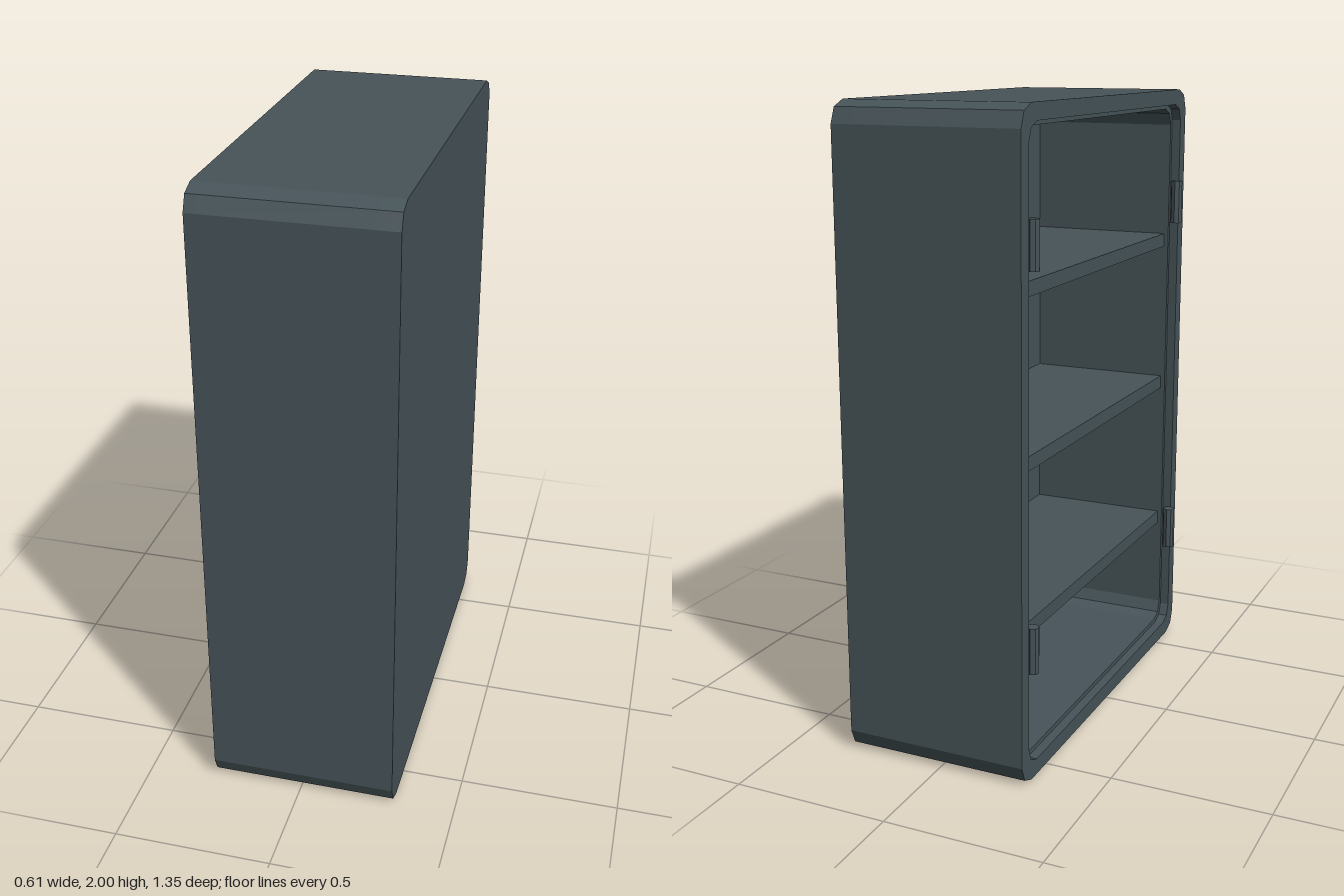
import * as THREE from 'three';

export function createModel() {
  const model = new THREE.Group();
  model.name = 'openCabinet';

  const slate = new THREE.MeshStandardMaterial({ color: 0x465358 });
  slate.name = 'slateGrey';

  const HALF_WIDTH = 0.675, HEIGHT = 2;

  const add = (name, geometry, x = 0, y = 0, z = 0) => {
    const mesh = new THREE.Mesh(geometry, slate);
    mesh.name = name;
    mesh.position.set(x, y, z);
    model.add(mesh);
  };

  // Rounded outline of the cabinet, shrunk by an inset
  const outline = (path, inset, r) => {
    const w = HALF_WIDTH - inset, b = inset, t = HEIGHT - inset;
    path.moveTo(-w + r, b);
    path.absarc(w - r, b + r, r, -Math.PI / 2, 0, false);
    path.absarc(w - r, t - r, r, 0, Math.PI / 2, false);
    path.absarc(-w + r, t - r, r, Math.PI / 2, Math.PI, false);
    path.absarc(-w + r, b + r, r, Math.PI, Math.PI * 1.5, false);
    return path;
  };

  // Slice of the cabinet between two x positions, with an optional opening
  const slice = (name, x0, x1, holeInset) => {
    const shape = outline(new THREE.Shape(), 0, 0.067);
    if (holeInset) shape.holes.push(outline(new THREE.Path(), holeInset, 0.055));
    const geometry = new THREE.ExtrudeGeometry(shape, {
      depth: x1 - x0, bevelEnabled: false, curveSegments: 1,
    });
    geometry.rotateY(Math.PI / 2);
    add(name, geometry, x0);
  };

  // Stepped shell, open towards -x
  slice('openingRim', -0.285, -0.255, 0.05);
  slice('cabinetShell', -0.255, 0.24, 0.065);
  slice('backPanel', 0.24, 0.305);

  // Shelves, set back from the opening
  for (const y of [0.45, 0.965, 1.48]) {
    add('shelf', new THREE.BoxGeometry(0.48, 0.045, 1.23), 0, y, 0);
  }

  // Hinge barrels on both sides of the opening
  const barrel = new THREE.CylinderGeometry(0.02, 0.02, 0.145, 8).toNonIndexed();
  barrel.computeVertexNormals();
  for (const z of [-0.6, 0.6]) {
    for (const y of [0.42, 1.617]) add('hinge', barrel, -0.286, y, z);
  }

  return model;
}
